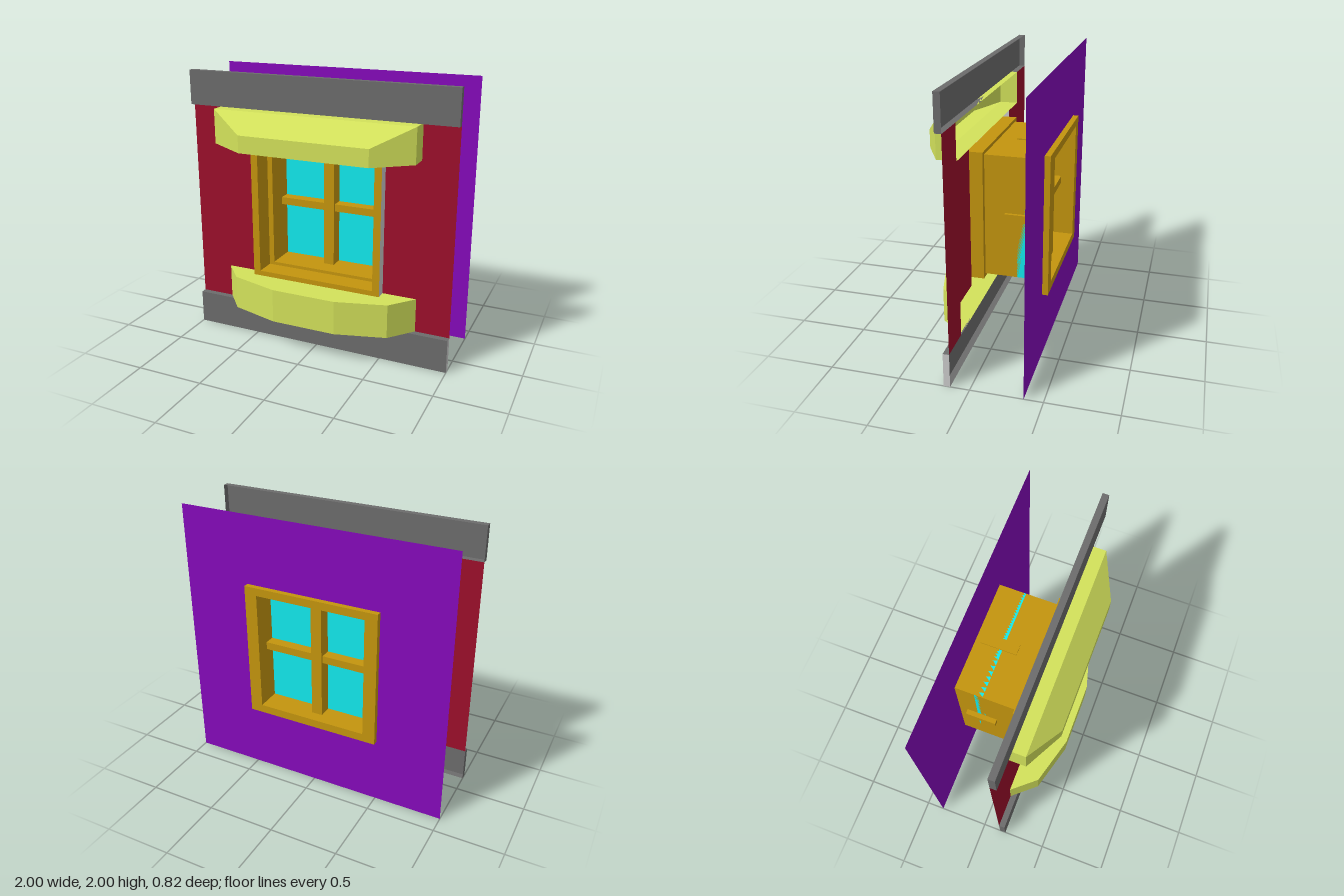
import * as THREE from 'three';

const mat = (color) => new THREE.MeshStandardMaterial({ color, side: THREE.DoubleSide, flatShading: true });

// Skin through rectangular rings [halfWidth, bottom, top, z]; sides: 0 bottom, 1 +x, 2 top, 3 -x
function loft(rings, cap = false, sides = [0, 1, 2, 3]) {
  const pos = [];
  const corners = ([w, b, t, z]) => [[-w, b, z], [w, b, z], [w, t, z], [-w, t, z]];
  const quad = (a, b, c, d) => pos.push(...a, ...b, ...c, ...a, ...c, ...d);
  for (let k = 0; k < rings.length - 1; k++) {
    const p = corners(rings[k]), q = corners(rings[k + 1]);
    for (const i of sides) {
      const j = (i + 1) % 4;
      quad(p[i], p[j], q[j], q[i]);
    }
  }
  if (cap) quad(...corners(rings[rings.length - 1]));
  const g = new THREE.BufferGeometry();
  g.setAttribute('position', new THREE.Float32BufferAttribute(pos, 3));
  g.computeVertexNormals();
  return g;
}

// Flat panel in the xy plane from outline points, with an optional rectangular hole
function panel(points, hole) {
  const toV = ([x, y]) => new THREE.Vector2(x, y);
  const s = new THREE.Shape(points.map(toV));
  if (hole) {
    const [w, b, t] = hole;
    s.holes.push(new THREE.Path([[-w, b], [-w, t], [w, t], [w, b]].map(toV)));
  }
  return new THREE.ShapeGeometry(s);
}

export function createModel() {
  const model = new THREE.Group();
  const grey = mat(0x6c6c6c), plain = mat(0xcccccc), red = mat(0x9c0f2b), stone = mat(0xd3e25b);
  const wood = mat(0xc4950e), glass = mat(0x12eaee), purple = mat(0x850abb);
  const add = (name, geometry, material, x = 0, y = 0, z = 0) => {
    const m = new THREE.Mesh(geometry, material);
    m.name = name;
    m.position.set(x, y, z);
    model.add(m);
    return m;
  };

  // Horizontal bands, open at the back
  add('topBand', loft([[1, 1.75, 2, 0.135], [1, 1.75, 2, 0.18]], true), grey);
  const low = [[1, 0, 0.25, 0.135], [1, 0, 0.25, 0.18]];
  add('bottomBand', loft(low, true, [0, 2, 3]), grey);
  add('bottomBandEnd', loft(low, false, [1]), plain);

  // Outer wall, cut away behind the lintel, sill and window
  for (const s of [-1, 1]) {
    const pts = [[0.5, 0.5], [0.75, 0.5], [0.75, 0.25], [1, 0.25], [1, 1.75], [0.75, 1.75], [0.75, 1.5], [0.5, 1.5]];
    add(s > 0 ? 'leftOuterWall' : 'rightOuterWall', panel(pts.map(([x, y]) => [s * x, y])), red, 0, 0, 0.135);
  }

  // Inner wall around the window tunnel
  add('innerWall', panel([[-1, 0], [1, 0], [1, 2], [-1, 2]], [0.41, 0.56, 1.44]), purple, 0, 0, -0.368);

  // Lintel and faceted sill, hollow shells
  add('lintel', loft([[0.75, 1.5, 1.75, 0.135], [0.75, 1.5, 1.75, 0.27], [0.48, 1.485, 1.61, 0.41]], true), stone);
  add('sill', loft([[0.75, 0.25, 0.5, 0.135], [0.6, 0.25, 0.5, 0.31], [0.24, 0.25, 0.5, 0.41]], true), stone);

  // Window frame: outer edge, stepped reveal, rear flange
  add('frameOuterEdge', loft([[0.5, 0.5, 1.5, 0.135], [0.5, 0.5, 1.5, 0.21]]), plain);
  add('windowFrame', loft([
    [0.5, 0.5, 1.5, 0.21], [0.447, 0.537, 1.467, 0.21], [0.447, 0.537, 1.467, 0.06],
    [0.408, 0.56, 1.443, 0.06], [0.408, 0.56, 1.443, -0.41],
    [0.5, 0.5, 1.5, -0.41], [0.5, 0.5, 1.5, -0.37], [0.408, 0.56, 1.443, -0.37],
  ]), wood);

  // Glass and crossing bars
  add('glassPane', new THREE.BoxGeometry(0.816, 0.883, 0.06), glass, 0, 1.0015, -0.2);
  add('verticalBar', new THREE.BoxGeometry(0.08, 0.9, 0.26), wood, -0.008, 1.002, -0.198);
  add('horizontalBar', new THREE.BoxGeometry(0.874, 0.055, 0.224), wood, -0.006, 1.01, -0.196);

  return model;
}
